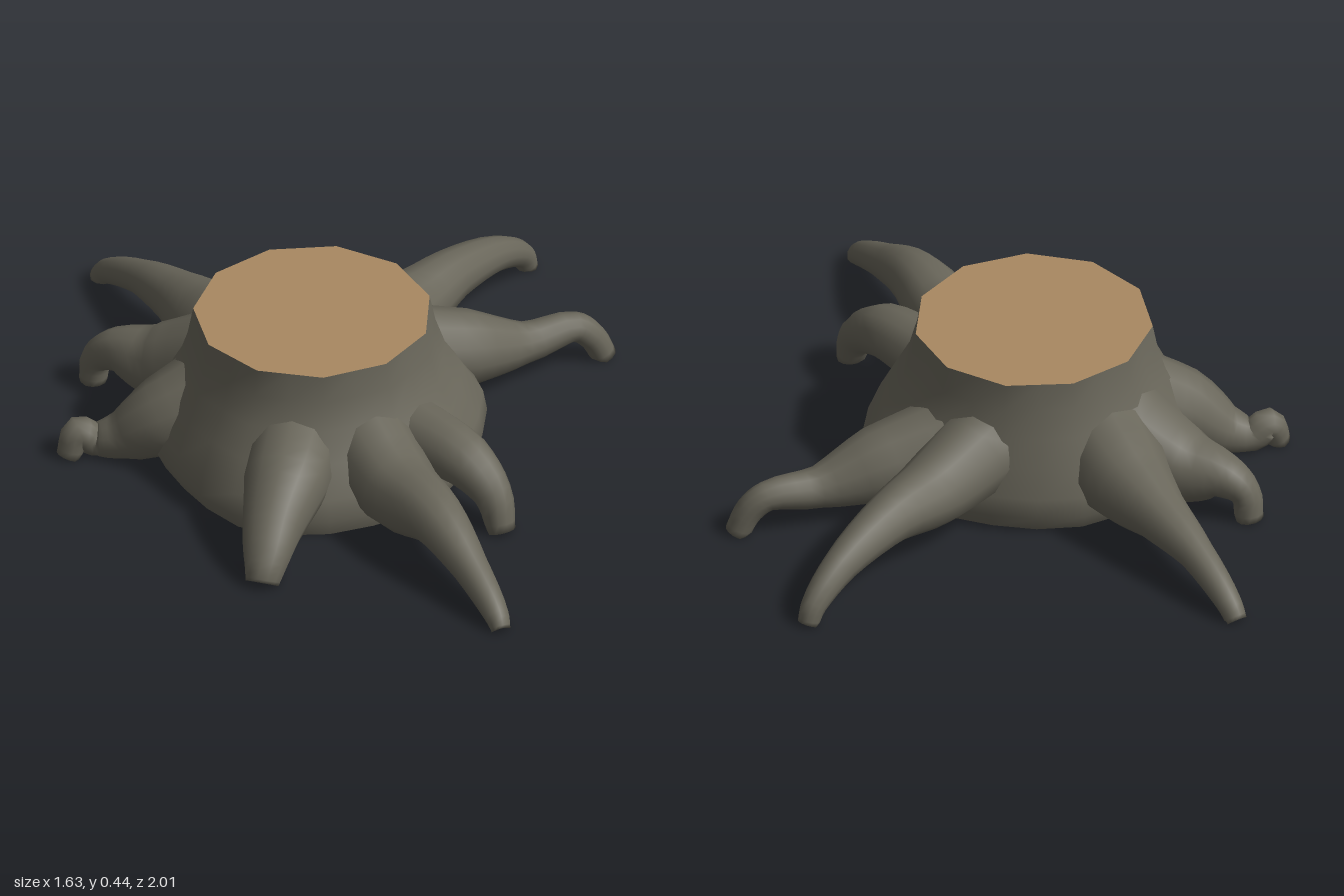
import * as THREE from 'three';

const SIDES = 22;

// Skin a list of rings (each an array of Vector3), optionally closing the last ring
function loft(rings, closeEnd) {
  const n = rings[0].length, pos = [], idx = [];
  rings.forEach(r => r.forEach(p => pos.push(p.x, p.y, p.z)));
  for (let i = 0; i < rings.length - 1; i++) {
    for (let j = 0; j < n; j++) {
      const a = i * n + j, b = i * n + (j + 1) % n;
      idx.push(a, a + n, b, b, a + n, b + n);
    }
  }
  if (closeEnd) {
    const last = rings[rings.length - 1], c = new THREE.Vector3();
    last.forEach(p => c.addScaledVector(p, 1 / n));
    const k = pos.length / 3, s = (rings.length - 1) * n;
    pos.push(c.x, c.y, c.z);
    for (let j = 0; j < n; j++) idx.push(s + j, k, s + (j + 1) % n);
  }
  const g = new THREE.BufferGeometry();
  g.setAttribute('position', new THREE.Float32BufferAttribute(pos, 3));
  g.setIndex(idx);
  g.computeVertexNormals();
  return g;
}

// Flat fan over a level ring, facing up or down
function cap(ring, up) {
  const shape = new THREE.Shape(ring.map(p => new THREE.Vector2(p.x, -p.z)));
  const g = new THREE.ShapeGeometry(shape);
  g.rotateX(up ? -Math.PI / 2 : Math.PI / 2);
  if (!up) g.scale(1, 1, -1).index.array.reverse();
  g.translate(0, ring[0].y, 0);
  if (!up) {
    // the mirrored fan is re-wound so that it faces the ground
    g.index.needsUpdate = true;
    g.computeVertexNormals();
  }
  return g;
}

// Trunk ring: faceted at the saw cut, gently lumpy towards the ground
function trunkRing([y, rx, rz, cx, cz, lump]) {
  return Array.from({ length: SIDES }, (_, j) => {
    const a = (j / SIDES) * Math.PI * 2;
    const facet = j % 2 ? Math.cos(Math.PI / 11) : 1;
    const k = facet + (1 - facet) * Math.min(1, lump * 25)
      + lump * (Math.sin(3 * a + 1) + 0.6 * Math.sin(5 * a));
    return new THREE.Vector3(cx + Math.cos(a) * rx * k, y, cz - Math.sin(a) * rz * k);
  });
}

// Tapering root along points [x, y, z, radius], flattened where it meets the ground
function rootGeometry(points) {
  const curve = new THREE.CatmullRomCurve3(points.map(p => new THREE.Vector3(p[0], p[1], p[2])));
  const steps = (points.length - 1) * 4, n = 12, rings = [];
  const up = new THREE.Vector3(0, 1, 0);
  for (let i = 0; i <= steps; i++) {
    const t = i / steps, f = t * (points.length - 1);
    const k = Math.min(Math.floor(f), points.length - 2);
    const r = THREE.MathUtils.lerp(points[k][3], points[k + 1][3], f - k);
    const c = curve.getPoint(t), d = curve.getTangent(t);
    const side = new THREE.Vector3().crossVectors(d, up).normalize();
    const nor = new THREE.Vector3().crossVectors(side, d);
    rings.push(Array.from({ length: n }, (_, j) => {
      const a = -(j / n) * Math.PI * 2;
      const p = c.clone().addScaledVector(side, Math.cos(a) * r).addScaledVector(nor, Math.sin(a) * r);
      p.y = Math.max(p.y, 0);
      return p;
    }));
  }
  return loft(rings.map(r => r.reverse()), true);
}

const ROOTS = {
  frontRoot: [[-0.02, 0.18, 0.22, 0.13], [0.03, 0.13, 0.42, 0.115], [0.09, 0.155, 0.62, 0.08],
    [0.145, 0.1, 0.8, 0.052], [0.185, 0.03, 0.95, 0.035], [0.19, 0, 0.98, 0.028]],
  frontLeftRoot: [[0.12, 0.17, 0.2, 0.1], [0.23, 0.165, 0.37, 0.08], [0.29, 0.1, 0.46, 0.055],
    [0.305, 0, 0.5, 0.04]],
  leftRoot: [[0.18, 0.17, -0.2, 0.13], [0.38, 0.13, -0.22, 0.11], [0.55, 0.1, -0.25, 0.06],
    [0.7, 0.11, -0.28, 0.043], [0.75, 0.07, -0.28, 0.04], [0.785, 0, -0.28, 0.036]],
  backLeftRoot: [[0.08, 0.2, -0.28, 0.13], [0.25, 0.16, -0.41, 0.105], [0.4, 0.165, -0.53, 0.075],
    [0.57, 0.12, -0.67, 0.05], [0.66, 0.05, -0.745, 0.036], [0.68, 0, -0.76, 0.03]],
  backRoot: [[-0.24, 0.19, -0.22, 0.16], [-0.29, 0.15, -0.45, 0.13], [-0.35, 0.14, -0.63, 0.08],
    [-0.42, 0.11, -0.8, 0.05], [-0.48, 0.04, -0.95, 0.036], [-0.495, 0, -0.985, 0.03]],
  backRightRoot: [[-0.32, 0.19, -0.25, 0.14], [-0.47, 0.12, -0.37, 0.11], [-0.57, 0.12, -0.45, 0.065],
    [-0.62, 0.08, -0.485, 0.045], [-0.63, 0, -0.495, 0.04]],
  rightRoot: [[-0.36, 0.19, -0.1, 0.14], [-0.52, 0.12, -0.1, 0.115], [-0.64, 0.05, -0.13, 0.07],
    [-0.71, 0.04, -0.15, 0.048], [-0.755, 0.07, -0.15, 0.045], [-0.785, 0, -0.14, 0.035]],
  frontRightRoot: [[-0.21, 0.19, 0.2, 0.13], [-0.28, 0.16, 0.36, 0.12], [-0.35, 0.1, 0.49, 0.085],
    [-0.39, 0.04, 0.575, 0.06], [-0.405, 0, 0.6, 0.048]],
};

export function createModel() {
  const bark = new THREE.MeshStandardMaterial({ color: 0x69665a });
  bark.name = 'bark';
  const wood = new THREE.MeshStandardMaterial({ color: 0xa98962 });
  wood.name = 'cut wood';

  const group = new THREE.Group();
  group.name = 'treeStump';
  const add = (name, geometry, material) => {
    const mesh = new THREE.Mesh(geometry, material);
    mesh.name = name;
    group.add(mesh);
    return mesh;
  };

  // Trunk flaring down to the ground: [y, rx, rz, cx, cz, lump]
  const rings = [
    [0.44, 0.335, 0.33, -0.105, -0.05, 0],
    [0.36, 0.35, 0.34, -0.105, -0.05, 0.004],
    [0.28, 0.375, 0.365, -0.105, -0.05, 0.012],
    [0.2, 0.42, 0.4, -0.105, -0.04, 0.025],
    [0.11, 0.465, 0.435, -0.1, -0.03, 0.035],
    [0.05, 0.475, 0.445, -0.1, -0.025, 0.035],
    [0, 0.45, 0.425, -0.1, -0.02, 0.035],
  ].map(trunkRing);
  add('trunk', loft(rings, false), bark);
  add('cutTop', cap(rings[0], true), wood);

  // Underside
  const base = rings[rings.length - 1];
  const under = loft([base, base.map(p => new THREE.Vector3(-0.1, 0, -0.02).lerp(p, 0.5))], true);
  add('underside', under, bark);

  for (const [name, points] of Object.entries(ROOTS)) add(name, rootGeometry(points), bark);

  return group;
}
